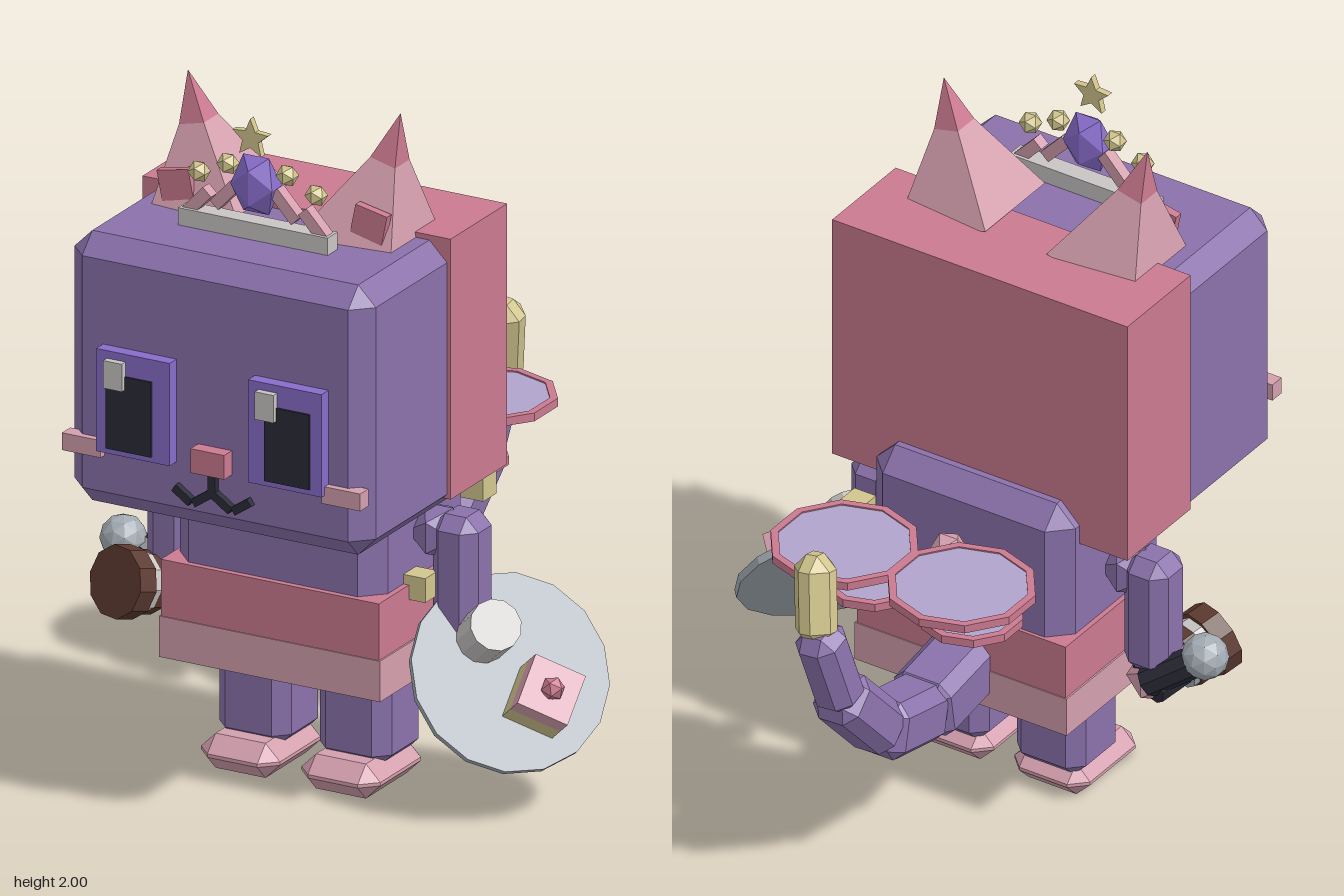
import * as THREE from 'three';
import { ConvexGeometry } from 'three/addons/geometries/ConvexGeometry.js';

const V = (x, y, z) => new THREE.Vector3(x, y, z);
const MID = -0.083; // symmetry plane of the figure

function paint(name, color) {
  const m = new THREE.MeshStandardMaterial({ color, flatShading: true });
  m.name = name;
  return m;
}

// Box with every edge cut off
function chamferBox(w, h, d, c) {
  const pts = [];
  const [x, y, z] = [w / 2, h / 2, d / 2];
  for (const i of [-1, 1]) for (const j of [-1, 1]) for (const k of [-1, 1]) {
    pts.push(V(i * x, j * (y - c), k * (z - c)));
    pts.push(V(i * (x - c), j * y, k * (z - c)));
    pts.push(V(i * (x - c), j * (y - c), k * z));
  }
  return new ConvexGeometry(pts);
}

export function createModel() {
  const root = new THREE.Group();
  const purple = paint('purple fur', 0x8b72ac);
  const violet = paint('bright violet', 0x886ccb);
  const rose = paint('rose', 0xcb7a90);
  const pink = paint('light pink', 0xd49fae);
  const gold = paint('pale gold', 0xd2c68e);
  const white = paint('off white', 0xc8c5c4);
  const black = paint('near black', 0x2b2b38);
  const brown = paint('brown', 0x5c3a30);
  const grey = paint('steel grey', 0xa3abb3);
  const lavender = paint('lavender', 0xb0a4cc);

  function add(name, geo, mat, x, y, z, parent = root) {
    const m = new THREE.Mesh(geo, mat);
    m.name = name;
    m.position.set(x, y, z);
    parent.add(m);
    return m;
  }
  // Box given by its lower and upper limits on each axis
  const box = (name, mat, x0, x1, y0, y1, z0, z1) =>
    add(name, new THREE.BoxGeometry(x1 - x0, y1 - y0, z1 - z0), mat, (x0 + x1) / 2, (y0 + y1) / 2, (z0 + z1) / 2);
  const softBox = (name, mat, c, x0, x1, y0, y1, z0, z1) =>
    add(name, chamferBox(x1 - x0, y1 - y0, z1 - z0, c), mat, (x0 + x1) / 2, (y0 + y1) / 2, (z0 + z1) / 2);
  const gem = (name, mat, r, x, y, z, parent) => add(name, new THREE.IcosahedronGeometry(r, 0), mat, x, y, z, parent);
  // Places a geometry whose length runs along y between two points
  function along(name, geo, mat, a, b) {
    const m = add(name, geo, mat, (a.x + b.x) / 2, (a.y + b.y) / 2, (a.z + b.z) / 2);
    m.quaternion.setFromUnitVectors(V(0, 1, 0), b.clone().sub(a).normalize());
    return m;
  }

  // Head, hair, body and skirt
  softBox('head', purple, 0.055, -0.55, 0.386, 0.865, 1.645, -0.012, 0.73);
  box('hair', rose, -0.56, 0.397, 0.907, 1.66, -0.02, 0.288);
  softBox('body', purple, 0.06, -0.405, 0.24, 0.335, 1.025, -0.1, 0.415);
  box('skirtTop', rose, -0.42, 0.257, 0.463, 0.627, -0.11, 0.433);
  box('skirtHem', pink, -0.425, 0.262, 0.345, 0.463, -0.113, 0.436);

  // Eyes: plate, pupil and highlight
  for (const [x, px, hx] of [[-0.43, -0.397, -0.397], [0.042, 0.095, 0.074]]) {
    box('eye', violet, x, x + 0.228, 1.05, 1.347, 0.71, 0.768);
    box('pupil', black, px, px + 0.14, 1.066, 1.283, 0.766, 0.774);
    box('eyeHighlight', white, hx, hx + 0.058, 1.245, 1.325, 0.74, 0.788);
  }

  // Nose, mouth and cheeks
  box('nose', rose, -0.135, -0.03, 1.045, 1.115, 0.71, 0.772);
  box('mouthLine', black, MID - 0.012, MID + 0.012, 0.975, 1.045, 0.72, 0.75);
  for (const s of [-1, 1]) {
    for (const [dx, tilt] of [[0.032, 0.6], [0.092, -0.6]]) {
      const lip = add('mouthCurve', new THREE.BoxGeometry(0.062, 0.024, 0.03), black, MID + s * dx, 0.965, 0.735);
      lip.rotation.z = -s * tilt;
      if (dx > 0.05) lip.rotation.z = s * 0.6;
    }
    add('cheek', new THREE.BoxGeometry(0.12, 0.05, 0.045), pink, MID + s * 0.403, 1.05, 0.728);
  }

  // Ears: tilted pyramids with a rose tip and inner patch
  for (const s of [-1, 1]) {
    const ear = new THREE.Group();
    ear.name = 'ear';
    ear.position.set(MID + s * 0.24, 1.63, 0.298);
    ear.rotation.z = -s * 0.24;
    root.add(ear);
    const cone = (r, h) => new THREE.ConeGeometry(r, h, 4).rotateY(Math.PI / 4);
    add('earCone', cone(0.205, 0.33), pink, 0, 0.165, 0, ear);
    add('earTip', cone(0.06, 0.15), rose, 0, 0.305, 0, ear);
    const patch = add('innerEar', new THREE.BoxGeometry(0.1, 0.09, 0.025), rose, MID + s * 0.3, 1.71, 0.408);
    patch.rotation.z = -s * 0.2;
  }

  // Crown
  box('crownBand', white, -0.314, 0.15, 1.64, 1.695, 0.47, 0.525);
  for (const s of [-1, 1]) {
    for (const [dx, y] of [[0.092, 1.84], [0.182, 1.8]]) {
      const prong = add('crownProng', new THREE.BoxGeometry(0.035, 0.1, 0.035), pink, MID + s * dx, y - 0.085, 0.497);
      prong.rotation.z = s * 0.75;
      gem('crownBead', gold, 0.032, MID + s * dx, y, 0.497);
    }
  }
  gem('crownJewel', violet, 0.08, MID, 1.8, 0.505).scale.set(0.95, 1.2, 0.65);
  const star = new THREE.Shape();
  for (let i = 0; i < 10; i++) {
    const a = Math.PI / 2 + i * Math.PI / 5, r = i % 2 ? 0.026 : 0.058;
    star[i ? 'lineTo' : 'moveTo'](Math.cos(a) * r, Math.sin(a) * r);
  }
  add('crownStar', new THREE.ExtrudeGeometry(star, { depth: 0.02, bevelEnabled: false }), gold, MID, 1.942, 0.518);

  // Limbs
  for (const s of [-1, 1]) {
    const leg = MID + s * 0.156, arm = MID + s * 0.443;
    add('leg', chamferBox(0.224, 0.36, 0.224, 0.04), purple, leg, 0.25, 0.164);
    add('foot', chamferBox(0.245, 0.1, 0.31, 0.045), pink, leg, 0.055, 0.207);
    add('arm', chamferBox(0.142, 0.36, 0.148, 0.038), purple, arm, 0.643, 0.16);
    gem('shoulder', purple, 0.085, MID + s * 0.37, 0.755, 0.16);
    gem('hand', pink, 0.075, arm, 0.43, 0.16);
  }

  // Tail: segments along a curling path with a gold tip
  const path = [V(MID, 0.46, -0.06), V(MID, 0.42, -0.3), V(MID, 0.465, -0.51), V(-0.065, 0.65, -0.675), V(-0.04, 0.86, -0.735)];
  [0.185, 0.17, 0.15, 0.13].forEach((w, i) => {
    const len = path[i].distanceTo(path[i + 1]) + 0.05;
    along('tailSegment', chamferBox(w, len, w, 0.035), purple, path[i], path[i + 1]);
  });
  along('tailTip', chamferBox(0.115, 0.255, 0.115, 0.04), gold, V(-0.03, 0.837, -0.735), V(0.01, 1.085, -0.683));

  // Wings: two tiers of flat rimmed panels
  for (const s of [-1, 1]) {
    for (const [r, y, z, dx] of [[0.207, 0.92, -0.395, 0.19], [0.145, 0.772, -0.303, 0.16]]) {
      const rim = new THREE.Shape(), hole = new THREE.Path();
      for (let i = 0; i < 10; i++) {
        const a = Math.PI / 2 + i * Math.PI / 5;
        rim[i ? 'lineTo' : 'moveTo'](Math.cos(a) * r, Math.sin(a) * r);
        hole[i ? 'lineTo' : 'moveTo'](Math.cos(a) * (r - 0.022), Math.sin(a) * (r - 0.022));
      }
      rim.holes.push(hole);
      const edge = new THREE.ExtrudeGeometry(rim, { depth: 0.024, bevelEnabled: false }).rotateX(-Math.PI / 2);
      add('wingRim', edge, rose, MID + s * dx, y - 0.012, z);
      add('wingPanel', new THREE.CylinderGeometry(r - 0.02, r - 0.02, 0.016, 10), lavender, MID + s * dx, y, z);
    }
  }
  gem('wingJewel', pink, 0.055, MID, 0.85, -0.173);

  // Strap clasps on the side of the body
  box('backClasp', gold, 0.238, 0.308, 0.772, 0.842, -0.118, -0.045);
  box('sideClasp', gold, 0.238, 0.308, 0.585, 0.655, 0.2, 0.27);

  // Tilted disc at the left hand, with a drum and a stacked box on its face
  const n = V(0.63, 0.56, 0.53).normalize();
  const t = V(0.7, -0.71, -0.07);
  t.addScaledVector(n, -t.dot(n)).normalize();
  const disc = new THREE.Group();
  disc.name = 'discShield';
  disc.quaternion.setFromRotationMatrix(new THREE.Matrix4().makeBasis(t, n, t.clone().cross(n)));
  disc.position.set(0.515, 0.39, 0.175);
  root.add(disc);
  add('discPlate', new THREE.CylinderGeometry(0.28, 0.28, 0.024, 16), grey, 0, 0, 0, disc);
  add('discDrum', new THREE.CylinderGeometry(0.073, 0.073, 0.14, 12), white, -0.122, 0.078, 0, disc);
  const stack = new THREE.Group();
  stack.name = 'discBox';
  stack.position.x = 0.108;
  stack.rotation.y = 0.488;
  disc.add(stack);
  add('boxBase', new THREE.BoxGeometry(0.15, 0.085, 0.15), gold, 0, 0.045, 0, stack);
  add('boxLid', new THREE.BoxGeometry(0.15, 0.07, 0.15), pink, 0, 0.1225, 0, stack);
  gem('boxKnob', rose, 0.034, 0, 0.168, 0, stack);

  // Mallet at the right hand: banded head, dark grip and ball pommel
  const tip = V(-0.612, 0.495, 0.345), dir = V(-0.3, 0.25, 0.92).normalize();
  for (const [name, mat, r, from, to] of [
    ['malletHead', brown, 0.102, 0, 0.06], ['malletRing', white, 0.09, 0.06, 0.09],
    ['malletCollar', brown, 0.088, 0.09, 0.13], ['malletBand', grey, 0.08, 0.13, 0.15], ['malletGrip', black, 0.065, 0.15, 0.25]]) {
    along(name, new THREE.CylinderGeometry(r, r, to - from, 10), mat,
      tip.clone().addScaledVector(dir, -to), tip.clone().addScaledVector(dir, -from));
  }
  along('malletStem', new THREE.CylinderGeometry(0.045, 0.045, 0.19, 8), black, V(-0.545, 0.445, 0.115), V(-0.68, 0.54, 0.155));
  add('malletBall', new THREE.IcosahedronGeometry(0.066, 1), grey, -0.69, 0.548, 0.163);

  return root;
}
